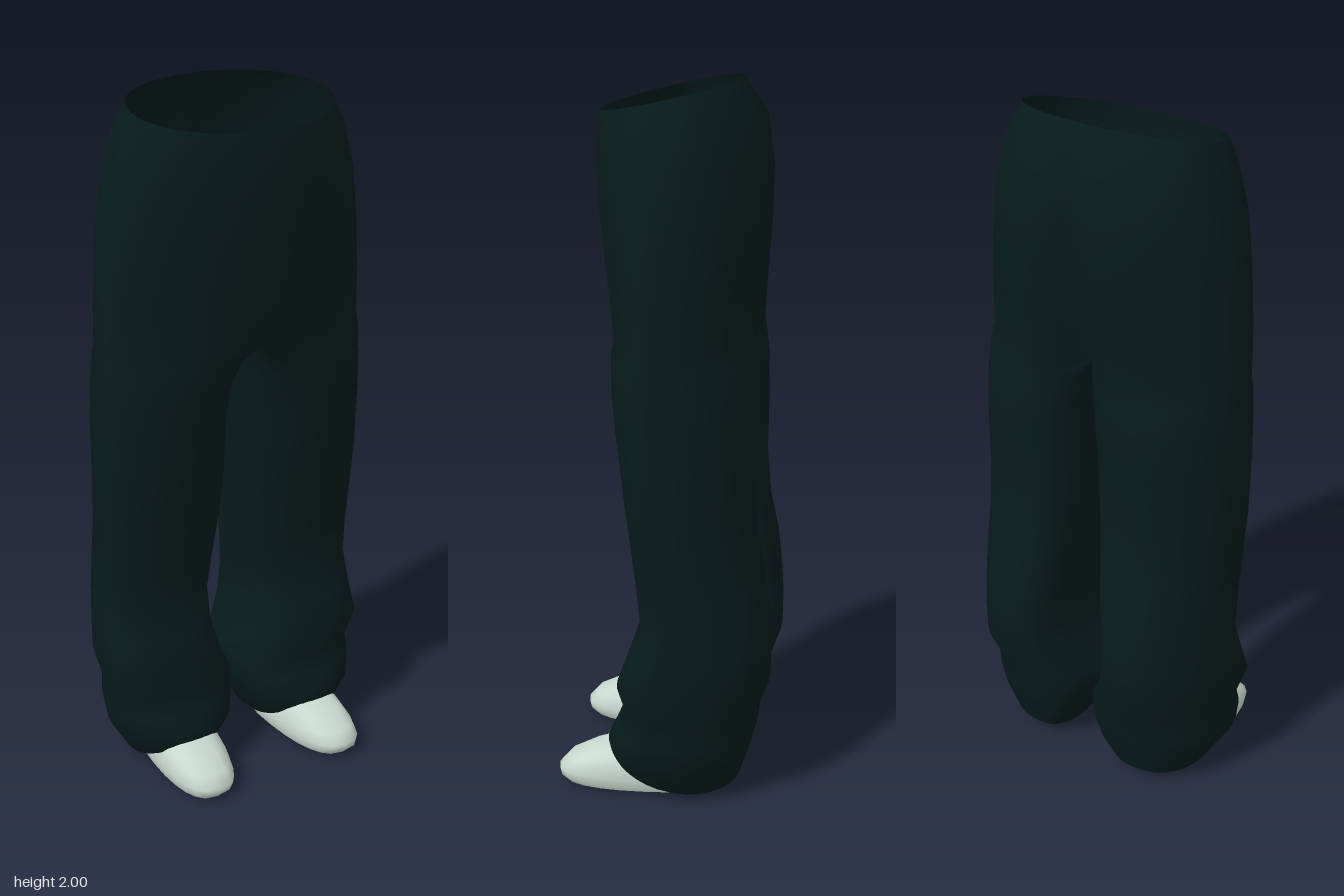
import * as THREE from 'three';
import { mergeVertices } from 'three/addons/utils/BufferGeometryUtils.js';

const OUTER = 24; // steps from front seam around the outside to the back seam
const INNER = 10; // steps along the inside of a leg
const { lerp } = THREE.MathUtils;

const spow = (v, p) => Math.sign(v) * Math.pow(Math.abs(v), p);

// Hip rows: y at z=0, tilt with z, half width, front z, back z, depth of the back groove
const hips = [
  [1.960, -0.22, 0.300, 0.200, -0.185, 0],
  [1.885, -0.08, 0.332, 0.206, -0.255, 0.008],
  [1.760, 0, 0.368, 0.206, -0.276, 0.026],
  [1.620, 0, 0.388, 0.194, -0.274, 0.045],
  [1.460, 0, 0.402, 0.174, -0.264, 0.075],
  [1.320, 0, 0.406, 0.157, -0.257, 0.110],
];
// Leg rows: y, tilt, bow, inner x, outer x, front z, back z, widest z, blend from hip to tube
const legs = [
  [1.32, 0, 0, 0.000, 0.406, 0.157, -0.257, 0.00, 0],
  [1.28, 0, 0, 0.020, 0.407, 0.152, -0.256, 0.00, 0.5],
  [1.20, 0, 0, 0.026, 0.409, 0.141, -0.255, 0.00, 0.85],
  [1.08, 0, 0, 0.036, 0.412, 0.125, -0.253, 0.00, 1],
  [0.90, 0, 0, 0.040, 0.413, 0.103, -0.250, 0.00, 1],
  [0.76, 0, 0, 0.050, 0.409, 0.084, -0.262, -0.01, 1],
  [0.64, 0, 0, 0.066, 0.406, 0.068, -0.287, -0.02, 1],
  [0.53, 0, 0, 0.077, 0.407, 0.057, -0.298, -0.03, 1],
  [0.44, 0, 0, 0.081, 0.411, 0.088, -0.304, -0.01, 1],
  [0.34, 0, 0, 0.065, 0.420, 0.124, -0.303, 0.02, 1],
  [0.26, 0, 0, 0.022, 0.397, 0.108, -0.274, 0.00, 1],
  [0.20, 0.04, 0, 0.022, 0.402, 0.132, -0.265, 0.00, 1],
  [0.125, 0.12, 0.3, 0.036, 0.388, 0.157, -0.245, 0.00, 1],
  [0.040, 0.28, 1.2, 0.088, 0.335, 0.152, -0.218, 0.00, 1],
];

// Half outline of the hips, front seam to back seam, with a soft groove behind
function hipPoint(t, xo, zf, zb, groove) {
  const x = t > 3.14 ? 0 : xo * Math.sin(t);
  const c = Math.cos(t);
  let z = c > 0 ? c * zf : -Math.pow(-c, 0.92) * -zb;
  if (c < 0) z += groove * Math.exp(-Math.pow(x / 0.06, 2));
  return [x, z];
}

// Tube outline: round in front and outside, flat along the inner back
function legPoint(a, xi, xo, zf, zb, zw) {
  const c = Math.cos(a), s = Math.sin(a);
  const xc = lerp(xi, xo, s > 0 ? 0.5 : 0.38);
  const px = c > 0 ? 0.92 : s > 0 ? 0.85 : 0.62;
  const pz = s > 0 ? 0.95 : c > 0 ? 0.92 : 0.62;
  const x = xc + spow(c, px) * (c > 0 ? xo - xc : xc - xi);
  const z = zw + spow(s, pz) * (s > 0 ? zf - zw : zw - zb);
  return [x, z];
}

function hipRing([y, tilt, xo, zf, zb, groove]) {
  return Array.from({ length: OUTER + 1 }, (_, i) => {
    const [x, z] = hipPoint(i / OUTER * Math.PI, xo, zf, zb, groove);
    return [x, y + tilt * z, z];
  });
}

function legRing([y, tilt, bow, xi, xo, zf, zb, zw, blend]) {
  const spread = 2.2;
  const groove = hips[hips.length - 1][5];
  const ring = [];
  for (let i = 0; i < OUTER + INNER; i++) {
    const f = (i - OUTER) / INNER;
    const outside = i <= OUTER;
    const a = outside ? spread - 2 * spread * i / OUTER
      : -spread - f * (2 * Math.PI - 2 * spread);
    const hip = outside ? hipPoint(i / OUTER * Math.PI, xo, zf, zb, groove)
      : [0, lerp(zb + groove, zf, f)];
    const tube = legPoint(a, xi, xo, zf, zb, zw);
    const x = lerp(hip[0], tube[0], blend);
    const z = lerp(hip[1], tube[1], blend);
    ring.push([x, y + tilt * z + bow * z * z, z]);
  }
  ring.push(ring[0]);
  return ring;
}

// Adds a skin between rings listed from top to bottom, on the side given by sx
function addLoft(out, rings, sx) {
  const base = out.pos.length / 3, n = rings[0].length;
  rings.forEach(r => r.forEach(([x, y, z]) => out.pos.push(x * sx, y, z)));
  for (let j = 0; j < rings.length - 1; j++) {
    for (let i = 0; i < n - 1; i++) {
      const a = base + j * n + i, b = a + 1, c = a + n, d = c + 1;
      if (sx > 0) out.idx.push(a, c, b, b, c, d);
      else out.idx.push(a, b, c, b, d, c);
    }
  }
}

function toGeometry(out) {
  let g = new THREE.BufferGeometry();
  g.setAttribute('position', new THREE.Float32BufferAttribute(out.pos, 3));
  g.setIndex(out.idx);
  g = mergeVertices(g, 1e-4);
  g.computeVertexNormals();
  return g;
}

// Shoe rows: y, half width, toe z, heel z
const shoeRows = [
  [0.128, 0.058, 0.135, -0.165],
  [0.120, 0.080, 0.175, -0.180],
  [0.102, 0.093, 0.225, -0.186],
  [0.075, 0.100, 0.278, -0.190],
  [0.045, 0.103, 0.305, -0.192],
  [0.022, 0.100, 0.300, -0.192],
  [0.008, 0.094, 0.285, -0.186],
];

function shoeRing([y, w, toe, heel]) {
  const n = 24;
  return Array.from({ length: n + 1 }, (_, i) => {
    const a = -i / n * Math.PI * 2;
    const z = (toe + heel) / 2 + spow(Math.sin(a), 0.9) * (toe - heel) / 2;
    return [0.205 + 0.06 * (z - 0.05) + w * spow(Math.cos(a), 0.72), y, z];
  });
}

// Collapses a ring to its middle, to close an end
function capRing(ring, y) {
  const m = ring.slice(0, -1);
  const cx = m.reduce((s, p) => s + p[0], 0) / m.length;
  const cz = m.reduce((s, p) => s + p[2], 0) / m.length;
  return ring.map(() => [cx, y, cz]);
}

export function createModel() {
  const group = new THREE.Group();
  const cloth = new THREE.MeshStandardMaterial({ color: 0x071b1c, side: THREE.DoubleSide });
  cloth.name = 'dark teal cloth';
  const leather = new THREE.MeshStandardMaterial({ color: 0xc8d8ce, side: THREE.DoubleSide });
  leather.name = 'pale grey leather';

  // Trousers: open waist, two loose legs meeting at the crotch
  const skin = { pos: [], idx: [] };
  for (const sx of [1, -1]) {
    addLoft(skin, hips.map(hipRing), sx);
    addLoft(skin, legs.map(legRing), sx);
  }
  const trousers = new THREE.Mesh(toGeometry(skin), cloth);
  trousers.name = 'trousers';
  group.add(trousers);

  // Shoes with rounded uppers and separate flat soles
  for (const [side, sx] of [['left', 1], ['right', -1]]) {
    const rings = shoeRows.map(shoeRing);
    const top = { pos: [], idx: [] }, bottom = { pos: [], idx: [] };
    addLoft(top, [capRing(rings[0], 0.13), ...rings], sx);
    const last = rings[rings.length - 1];
    addLoft(bottom, [last, capRing(last, 0)], sx);
    const upper = new THREE.Mesh(toGeometry(top), leather);
    upper.name = side + 'ShoeUpper';
    const sole = new THREE.Mesh(toGeometry(bottom), leather);
    sole.name = side + 'ShoeSole';
    group.add(upper, sole);
  }
  return group;
}
